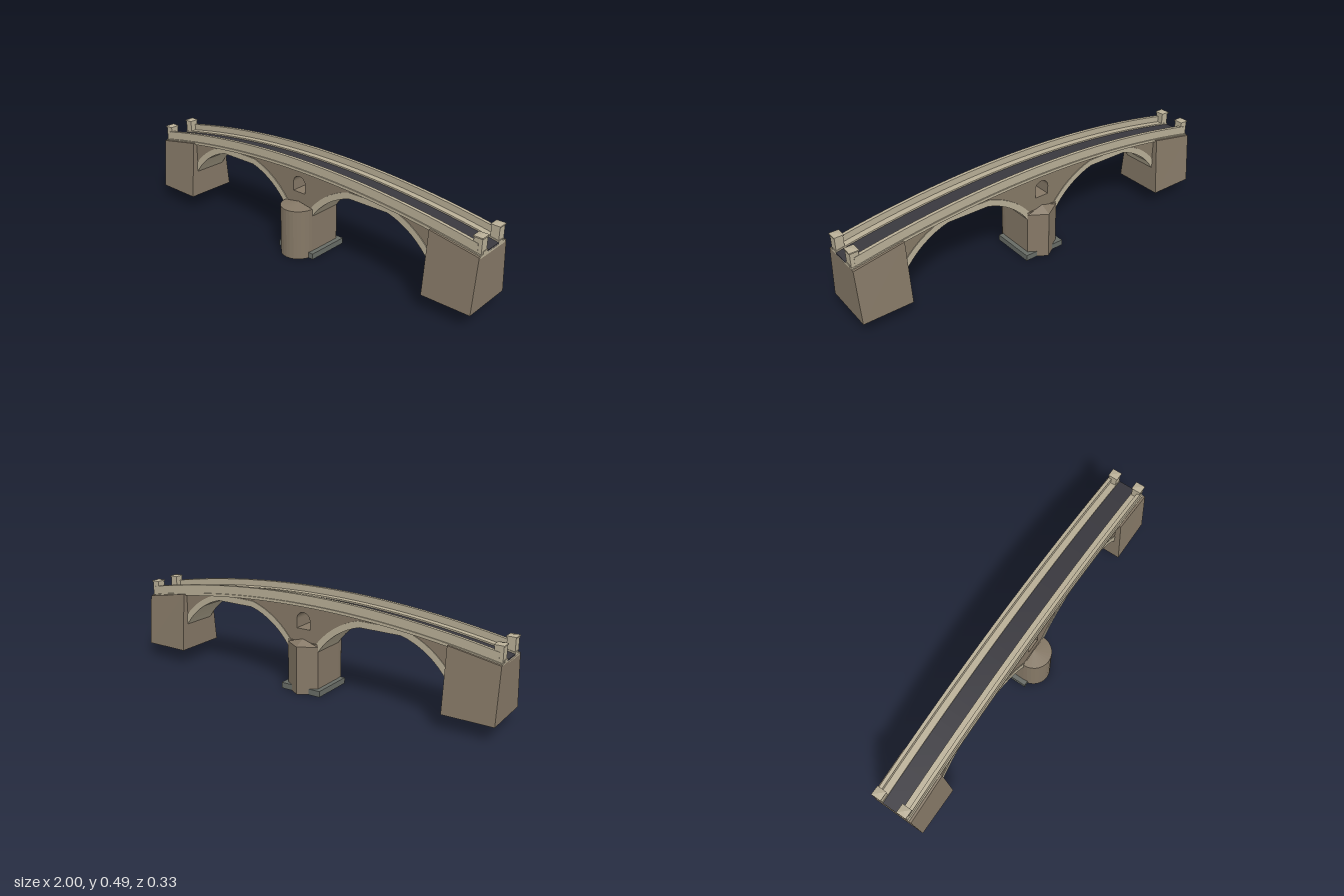
import * as THREE from 'three';

const paleStone = new THREE.MeshStandardMaterial({ color: 0xb8ae96 });
const brownStone = new THREE.MeshStandardMaterial({ color: 0x857866 });
const asphalt = new THREE.MeshStandardMaterial({ color: 0x39383e });
const greyFooting = new THREE.MeshStandardMaterial({ color: 0x676b65 });

const MID_Z = -0.0175;            // centreline of the bridge
const SPRING_Y = 0.215, ARCH_X = 0.42, HALF_SPAN = 0.335;
const RADIUS = 0.402, ARCH_Y = 0.395 - RADIUS;
const camber = (x) => -0.1 * x * x;

export function createModel() {
  const model = new THREE.Group();
  const bridge = new THREE.Group();
  bridge.name = 'bridge';
  bridge.position.z = MID_Z;
  model.add(bridge);

  function add(name, geometry, material, x = 0, y = 0, z = 0) {
    const mesh = new THREE.Mesh(geometry, material);
    mesh.name = name;
    mesh.position.set(x, y, z);
    bridge.add(mesh);
    return mesh;
  }
  const box = (w, h, d) => new THREE.BoxGeometry(w, h, d);
  const flat = (g) => {
    const f = g.toNonIndexed();
    f.computeVertexNormals();
    return f;
  };
  // Side outline extruded between two z positions
  function extrude(shape, z0, z1) {
    const g = new THREE.ExtrudeGeometry(shape, { depth: z1 - z0, bevelEnabled: false });
    return g.translate(0, 0, z0);
  }
  // Points on a line following the camber of the deck
  function deckLine(y, halfLength, n = 32) {
    const pts = [];
    for (let i = 0; i <= n; i++) {
      const x = -halfLength + (2 * halfLength * i) / n;
      pts.push(new THREE.Vector2(x, y + camber(x)));
    }
    return pts;
  }
  function band(name, material, y0, y1, z0, z1, halfLength = 1) {
    const shape = new THREE.Shape([...deckLine(y0, halfLength), ...deckLine(y1, halfLength).reverse()]);
    return add(name, extrude(shape, z0, z1), material);
  }
  // Arch points from left to right, flattened at the crown
  const sweep = Math.asin(HALF_SPAN / RADIUS);
  function archLine(cx, offset, cap, n = 22) {
    const pts = [];
    for (let i = 0; i <= n; i++) {
      const a = -sweep + (2 * sweep * i) / n;
      pts.push(new THREE.Vector2(
        cx + (RADIUS + offset) * Math.sin(a),
        Math.min(cap, ARCH_Y + (RADIUS + offset) * Math.cos(a))));
    }
    return pts;
  }

  // Spandrel walls with a round-headed opening over the pier
  const wall = new THREE.Shape([
    new THREE.Vector2(-0.985, SPRING_Y),
    ...archLine(-ARCH_X, 0.015, 0.395),
    ...archLine(ARCH_X, 0.015, 0.395),
    new THREE.Vector2(0.985, SPRING_Y),
    ...deckLine(0.436, 0.985).reverse(),
  ]);
  const opening = new THREE.Path();
  opening.moveTo(-0.038, 0.318);
  opening.lineTo(0.038, 0.318);
  opening.lineTo(0.038, 0.362);
  opening.absarc(0, 0.362, 0.038, 0, Math.PI, false);
  opening.lineTo(-0.038, 0.318);
  wall.holes.push(opening);
  add('spandrelWall', extrude(wall, -0.086, 0.086), brownStone);

  // Arch rings
  for (const s of [-1, 1]) {
    const ring = new THREE.Shape([
      ...archLine(s * ARCH_X, 0, 0.38),
      ...archLine(s * ARCH_X, 0.031, 0.411).reverse(),
    ]);
    add('archRing', extrude(ring, -0.09, 0.09), paleStone);
  }

  // Deck: cornice slab, road, footways, parapets and copings
  band('cornice', paleStone, 0.431, 0.445, -0.0975, 0.0975);
  band('road', asphalt, 0.44, 0.449, -0.046, 0.046);
  for (const s of [-1, 1]) {
    const side = (name, y0, y1, a, b, len) =>
      band(name, paleStone, y0, y1, Math.min(s * a, s * b), Math.max(s * a, s * b), len);
    side('footway', 0.44, 0.456, 0.045, 0.078, 1);
    side('parapet', 0.44, 0.481, 0.0765, 0.0915, 0.98);
    side('coping', 0.481, 0.488, 0.0755, 0.0925, 0.98);
  }

  // End posts with low pyramid caps
  for (const sx of [-1, 1]) {
    for (const sz of [-1, 1]) {
      const x = sx * 0.977, z = sz * 0.069;
      add('endPost', box(0.04, 0.08, 0.043), paleStone, x, 0.378, z);
      add('postCap', box(0.046, 0.006, 0.051), paleStone, x, 0.419, z);
      const tip = new THREE.ConeGeometry(Math.SQRT1_2, 1, 4).rotateY(Math.PI / 4);
      tip.scale(0.046, 0.005, 0.051);
      add('postCapTop', flat(tip), paleStone, x, 0.4245, z);
    }
  }

  // Abutments: battered sides, tops sloping with the deck
  for (const s of [-1, 1]) {
    const g = box(0.245, 1, 2);
    const p = g.attributes.position;
    for (let i = 0; i < p.count; i++) {
      const top = p.getY(i) > 0;
      const inner = p.getX(i) * s < 0;
      p.setY(i, top ? (inner ? 0.383 : 0.34) : 0.077);
      p.setZ(i, p.getZ(i) * (top ? (inner ? 0.1075 : 0.109) : 0.1355));
    }
    add('abutment', flat(g), brownStone, s * 0.8775);
  }

  // Central pier with a rounded front nose and a pointed back nose
  add('pier', box(0.176, 0.255, 0.183), brownStone, 0, 0.1275, 0);
  function nose(name, height, peak, segments, start, depth, z) {
    const profile = [[0, 0], [0.088, 0], [0.088, height], [0, peak]].map(([x, y]) => new THREE.Vector2(x, y));
    const g = new THREE.LatheGeometry(profile, segments, start, Math.PI);
    g.scale(1, 1, depth / 0.088);
    add(name, flat(g), brownStone, 0, 0, z);
  }
  nose('roundCutwater', 0.257, 0.272, 14, -Math.PI / 2, 0.09, 0.0915);
  nose('pointedCutwater', 0.243, 0.27, 2, Math.PI / 2, 0.055, -0.0905);
  add('footing', box(0.224, 0.03, 0.23), greyFooting, 0, 0.015, 0);

  return model;
}
